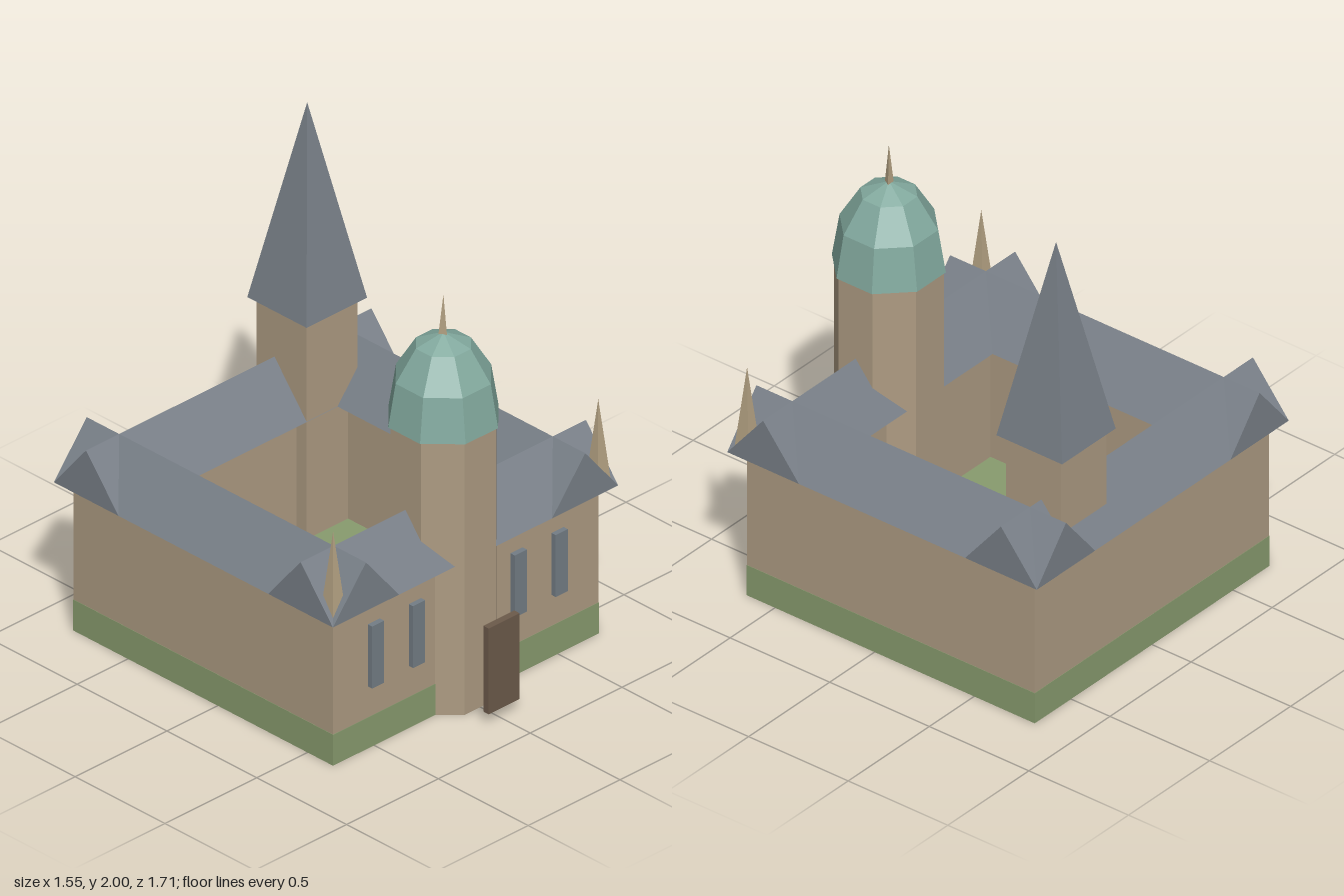
import * as THREE from 'three';

const mat = (name, color) => {
  const m = new THREE.MeshStandardMaterial({ color });
  m.name = name;
  return m;
};

export function createModel() {
  const stone = mat('stone', 0xad9b82);
  const slate = mat('slate', 0x787f87);
  const glass = mat('window grey', 0x737d85);
  const copper = mat('green copper', 0x82a99e);
  const grass = mat('grass', 0x889b6e);
  const wood = mat('door wood', 0x6c5a4a);
  const spikeStone = mat('pale stone', 0xb3a182);

  const model = new THREE.Group();
  const add = (name, geometry, material, x, y, z, parent = model) => {
    // separate the faces so that every facet is flat
    const g = geometry.index ? geometry.toNonIndexed() : geometry;
    g.computeVertexNormals();
    const mesh = new THREE.Mesh(g, material);
    mesh.name = name;
    mesh.position.set(x, y, z);
    parent.add(mesh);
    return mesh;
  };
  // box given by its centre in x and z and its bottom and top heights
  const box = (name, material, x, z, w, d, y0, y1, parent) =>
    add(name, new THREE.BoxGeometry(w, y1 - y0, d), material, x, (y0 + y1) / 2, z, parent);
  // square pyramid with sides parallel to the axes
  const pyramid = (name, material, x, z, half, y0, y1) =>
    add(name, new THREE.ConeGeometry(half * Math.SQRT2, y1 - y0, 4).rotateY(Math.PI / 4),
      material, x, (y0 + y1) / 2, z);

  // four wings around a grassy courtyard
  const wings = new THREE.Group();
  wings.name = 'wings';
  wings.position.z = -0.081;
  model.add(wings);
  const outer = 0.722, thick = 0.248, ridge = 0.597, reach = 0.777;
  const mid = outer - thick / 2;
  box('courtyardGround', grass, 0, 0, outer * 2 + 0.003, outer * 2 + 0.003, 0, 0.14, wings);

  const gable = new THREE.Shape([
    new THREE.Vector2(-0.18, 0.67), new THREE.Vector2(0.18, 0.67), new THREE.Vector2(0, 0.89),
  ]);
  const roof = () => new THREE.ExtrudeGeometry(gable, { depth: reach * 2, bevelEnabled: false })
    .translate(0, 0, -reach);
  for (const s of [-1, 1]) {
    const end = s > 0 ? 'front' : 'back', side = s > 0 ? 'left' : 'right';
    box(end + 'Wall', stone, 0, s * mid, outer * 2, thick, 0.002, 0.68, wings);
    box(side + 'Wall', stone, s * mid, 0, thick, (outer - thick) * 2, 0.002, 0.68, wings);
    add(end + 'Roof', roof().rotateY(Math.PI / 2), slate, 0, 0, s * ridge, wings);
    add(side + 'Roof', roof(), slate, s * ridge, 0, 0, wings);
    // pinnacles on the front corners
    pyramid(side + 'Pinnacle', spikeStone, s * 0.722, 0.641, 0.037, 0.67, 1.06);
    // tall windows beside the entrance
    for (const x of [0.277, 0.5]) box(side + 'Window', glass, s * x, 0.65, 0.066, 0.03, 0.28, 0.56);
  }

  // octagonal entrance tower with its dome and finial
  const tz = 0.517, toCorner = 1 / Math.cos(Math.PI / 8);
  add('entranceTower', new THREE.CylinderGeometry(0.206 * toCorner, 0.206 * toCorner, 1.23, 8)
    .rotateY(Math.PI / 8), stone, 0, 0.615, tz);
  add('dome', new THREE.SphereGeometry(0.214 * toCorner, 8, 3, 0, Math.PI * 2, 0, Math.PI / 2)
    .scale(1, 0.382 / (0.214 * toCorner), 1).rotateY(Math.PI / 8), copper, 0, 1.229, tz);
  add('domeUnderside', new THREE.CircleGeometry(0.214 * toCorner, 8).rotateX(Math.PI / 2)
    .rotateY(Math.PI / 8), copper, 0, 1.229, tz);
  add('domeFinial', new THREE.ConeGeometry(0.02, 0.175, 3), spikeStone, 0, 1.6925, tz);

  // door panel standing in front of the tower
  box('door', wood, 0, 0.84, 0.168, 0.03, 0.058, 0.446);

  // square rear tower with a steep spire
  box('rearTower', stone, 0.388, -0.638, 0.278, 0.278, 0.002, 1.12);
  pyramid('rearSpire', slate, 0.388, -0.638, 0.165, 1.117, 2);

  return model;
}
